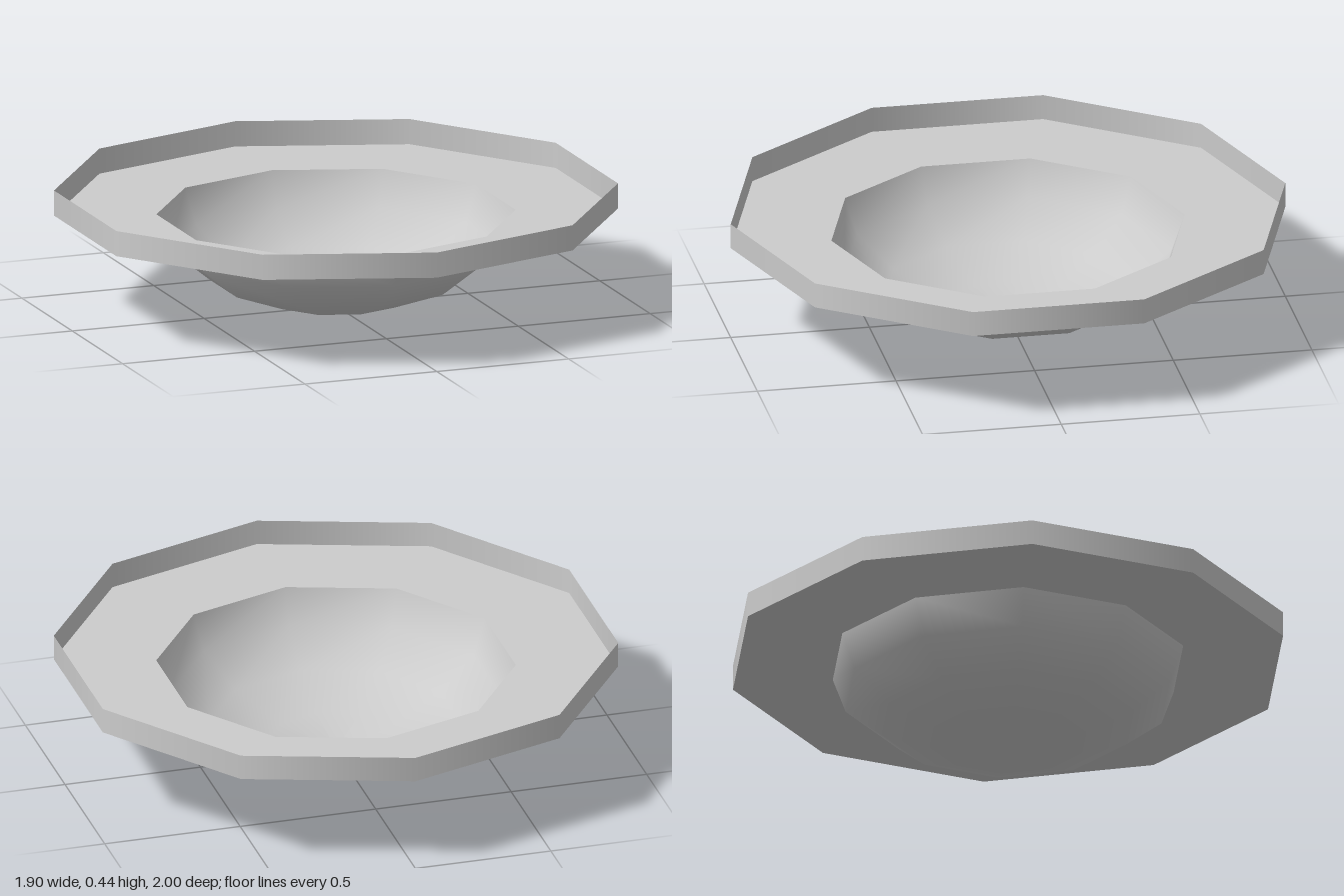
import * as THREE from 'three';

const SIDES = 10;
const BRIM_Y = 0.345;
const TOP_Y = 0.437;

export function createModel() {
  const model = new THREE.Group();
  model.name = 'brimmedBowl';
  const grey = new THREE.MeshStandardMaterial({ color: 0xcccccc, side: THREE.DoubleSide });
  grey.name = 'light grey';

  // Each part is a thin ten-sided surface turned from [radius, height] points
  const turned = (name, profile) => {
    const points = profile.map(([r, y]) => new THREE.Vector2(r, y));
    const mesh = new THREE.Mesh(new THREE.LatheGeometry(points, SIDES), grey);
    mesh.name = name;
    model.add(mesh);
  };

  // Rounded bowl, open at the top
  turned('bowl', [[0, 0.002], [0.247, 0.03], [0.45, 0.105], [0.59, 0.215], [0.637, BRIM_Y]]);

  // Flat brim around the bowl, facing up
  const brim = new THREE.Mesh(new THREE.RingGeometry(0.637, 1, SIDES, 1, Math.PI / 2), grey);
  brim.name = 'brim';
  brim.rotation.x = -Math.PI / 2;
  brim.position.y = BRIM_Y;
  model.add(brim);

  // Upright wall rising from the edge of the brim
  turned('rimWall', [[1, BRIM_Y], [1, TOP_Y]]);

  return model;
}
